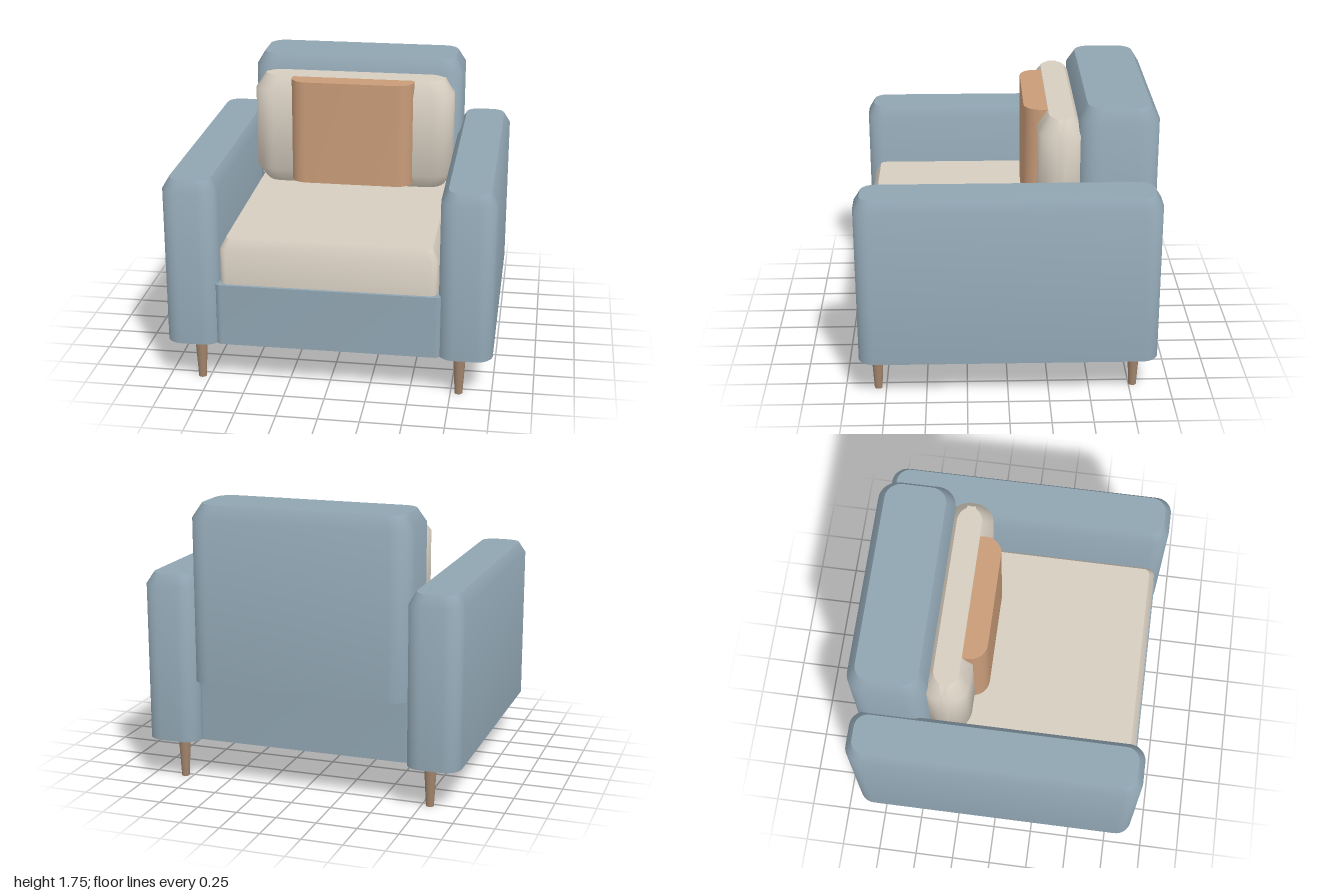
import * as THREE from 'three';
import { toCreasedNormals } from 'three/addons/utils/BufferGeometryUtils.js';

const mat = (color) => new THREE.MeshStandardMaterial({ color });
const fabric = mat(0x90a5b2);
const cream = mat(0xd6cdc0);
const tan = mat(0xc89b78);
const wood = mat(0xa1846c);

// Outline of a rounded rectangle in the xz plane, counter-clockwise seen from below
function outline(w, d, r, seg = 8) {
  const pts = [];
  const corners = [[1, 1], [-1, 1], [-1, -1], [1, -1]];
  corners.forEach(([sx, sz], c) => {
    for (let i = 0; i <= seg; i++) {
      const a = (c + i / seg) * Math.PI / 2;
      pts.push([sx * (w / 2 - r) + r * Math.cos(a), sz * (d / 2 - r) + r * Math.sin(a)]);
    }
  });
  return pts;
}

// Upholstered block: rounded in plan, with a sloped edge at the top and optionally at the bottom
function block(name, material, { x = [-1, 1], y, z, r, inset = 0, drop = 0, bottom = false }) {
  const w = x[1] - x[0], d = z[1] - z[0];
  const levels = [[y[0], bottom ? inset : 0]];
  if (bottom) levels.push([y[0] + drop, 0]);
  if (drop) levels.push([y[1] - drop, 0]);
  levels.push([y[1], inset]);

  const pos = [], index = [];
  let n = 0;
  for (const [h, k] of levels) {
    const ring = outline(w - 2 * k, d - 2 * k, Math.max(r - k * 0.4, 0.015));
    n = ring.length;
    for (const [px, pz] of ring) pos.push(px, h, pz);
  }
  const last = (levels.length - 1) * n;
  const low = levels.length * n, high = low + 1;
  pos.push(0, y[0], 0, 0, y[1], 0);
  for (let i = 0; i < n; i++) {
    const j = (i + 1) % n;
    for (let a = 0; a < last; a += n) {
      index.push(a + i, a + n + i, a + j, a + j, a + n + i, a + n + j);
    }
    index.push(low, i, j, high, last + j, last + i);
  }
  const geo = new THREE.BufferGeometry();
  geo.setAttribute('position', new THREE.Float32BufferAttribute(pos, 3));
  geo.setIndex(index);
  const mesh = new THREE.Mesh(toCreasedNormals(geo, 0.75), material);
  mesh.name = name;
  mesh.position.set((x[0] + x[1]) / 2, 0, (z[0] + z[1]) / 2);
  return mesh;
}

export function createModel() {
  const chair = new THREE.Group();
  chair.name = 'armchair';

  // Frame
  chair.add(block('seatBase', fabric, { x: [-0.69, 0.69], y: [0.265, 0.657], z: [-0.81, 0.88], r: 0.04 }));
  chair.add(block('backrest', fabric, {
    x: [-0.69, 0.69], y: [0.655, 1.753], z: [-0.907, -0.43], r: 0.12, inset: 0.05, drop: 0.085,
  }));
  for (const [side, x] of [['left', [0.667, 1]], ['right', [-1, -0.667]]]) {
    chair.add(block(side + 'Arm', fabric, {
      x, y: [0.265, 1.315], z: [-0.907, 0.907], r: 0.1, inset: 0.04, drop: 0.07,
    }));
  }

  // Cushions
  chair.add(block('seatCushion', cream, {
    x: [-0.66, 0.66], y: [0.65, 0.942], z: [-0.47, 0.86], r: 0.05, inset: 0.036, drop: 0.065,
  }));
  chair.add(block('backCushion', cream, {
    x: [-0.653, 0.653], y: [0.942, 1.667], z: [-0.472, -0.19], r: 0.13, inset: 0.064, drop: 0.095, bottom: true,
  }));
  chair.add(block('pillow', tan, { x: [-0.398, 0.398], y: [0.985, 1.664], z: [-0.33, -0.11], r: 0.105 }));

  // Tapered legs
  const legGeo = new THREE.CylinderGeometry(0.039, 0.024, 0.27, 20);
  for (const [end, z] of [['front', 0.8], ['back', -0.775]]) {
    for (const [side, x] of [['Left', 0.8], ['Right', -0.8]]) {
      const leg = new THREE.Mesh(legGeo, wood);
      leg.name = end + side + 'Leg';
      leg.position.set(x, 0.135, z);
      chair.add(leg);
    }
  }
  return chair;
}
